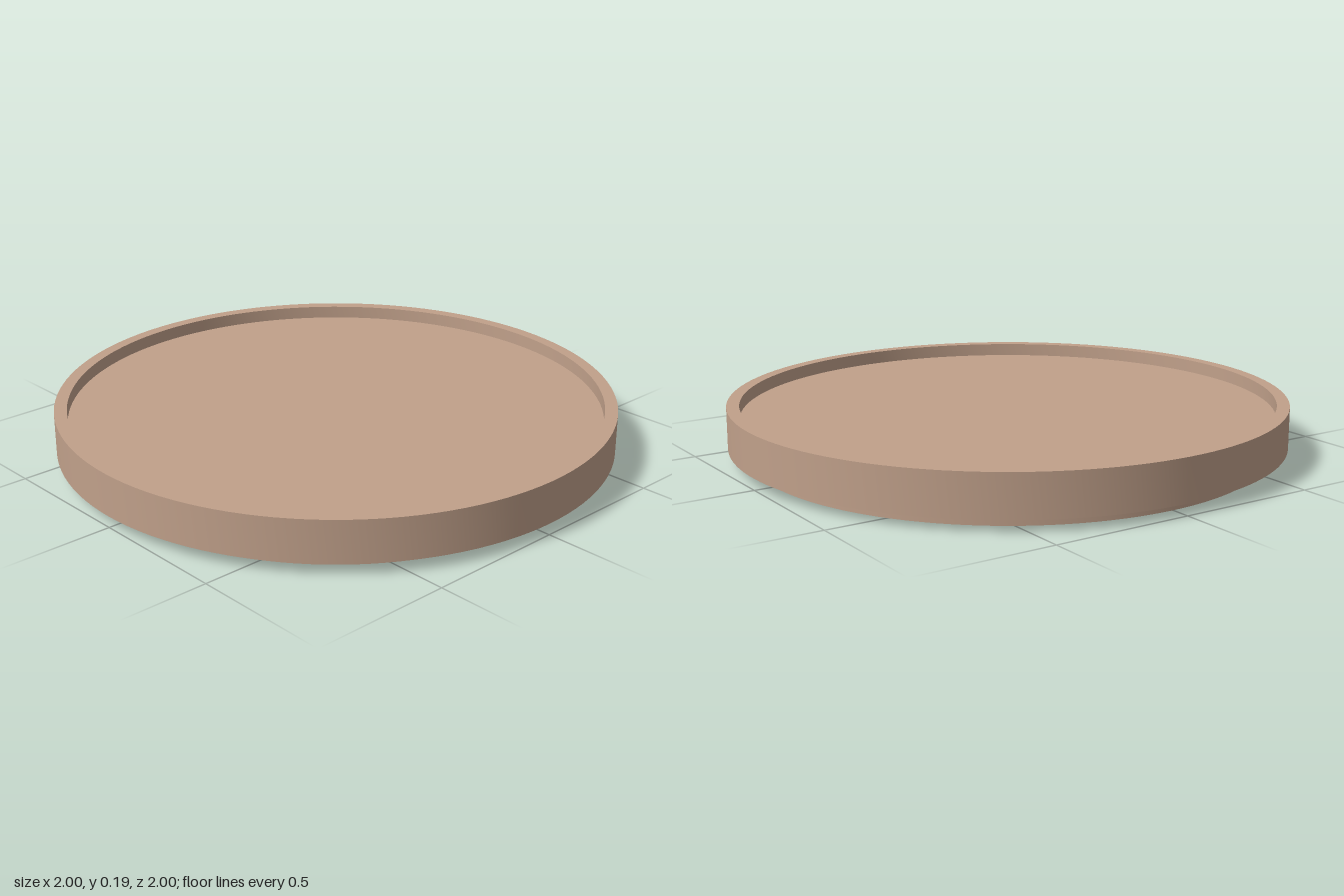
import * as THREE from 'three';
import { toCreasedNormals } from 'three/addons/utils/BufferGeometryUtils.js';

const material = new THREE.MeshStandardMaterial({ color: 0xc0a08a });

// Revolves a profile, listed from the underside outward and up, with sharp edges
function turned(name, profile) {
  const points = profile.map(([r, y]) => new THREE.Vector2(r, y));
  const geometry = toCreasedNormals(new THREE.LatheGeometry(points, 128), Math.PI / 6);
  const mesh = new THREE.Mesh(geometry, material);
  mesh.name = name;
  return mesh;
}

export function createModel() {
  const group = new THREE.Group();
  group.name = 'roundTray';

  // Slightly inset foot disc
  group.add(turned('foot', [[0, 0], [0.93, 0], [0.93, 0.04]]));

  // Dish with a thin raised rim around a shallow flat floor
  group.add(turned('dish', [
    [0.93, 0.04], [1, 0.04], [1, 0.19],
    [0.955, 0.19], [0.955, 0.143], [0, 0.143],
  ]));

  return group;
}
